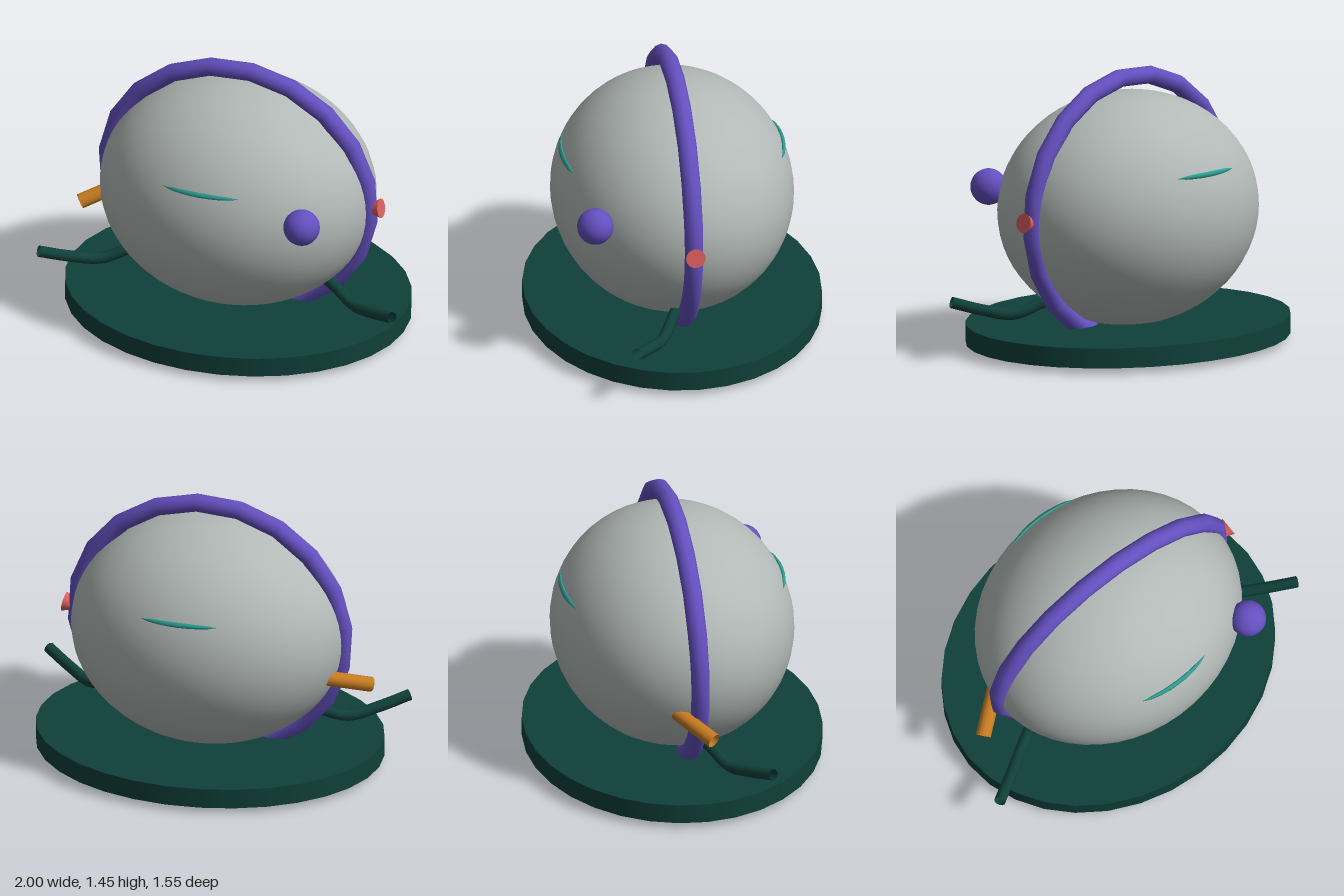
import * as THREE from 'three';

const mat = (name, color, side = THREE.FrontSide) => {
  const m = new THREE.MeshStandardMaterial({ color, side });
  m.name = name;
  return m;
};
const V = (x, y, z) => new THREE.Vector3(x, y, z);

// Cylinder running from a to b
function rod(a, b, ra, rb, sides, open, material) {
  const dir = b.clone().sub(a);
  const geo = new THREE.CylinderGeometry(rb, ra, dir.length(), sides, 1, open);
  const mesh = new THREE.Mesh(geo, material);
  mesh.position.copy(a).add(b).multiplyScalar(0.5);
  mesh.quaternion.setFromUnitVectors(V(0, 1, 0), dir.normalize());
  return mesh;
}

export function createModel() {
  const group = new THREE.Group();
  const grey = mat('shell grey', 0xb2b9b7);
  const green = mat('dark green', 0x10403a, THREE.DoubleSide);
  const purple = mat('purple', 0x6450c0);
  const teal = mat('teal', 0x2a9d90);
  const orange = mat('orange', 0xc47a20, THREE.DoubleSide);
  const coral = mat('coral', 0xdd5f5f);
  const add = (name, mesh) => {
    mesh.name = name;
    group.add(mesh);
    return mesh;
  };

  // Ellipsoid body
  const [rx, ry, rz, cy] = [0.73, 0.61, 0.63, 0.72];
  const body = add('body', new THREE.Mesh(new THREE.SphereGeometry(1, 48, 32), grey));
  body.scale.set(rx, ry, rz);
  body.position.y = cy;

  // Oval base plate
  const base = add('base', new THREE.Mesh(new THREE.CylinderGeometry(1, 1, 0.105, 32), green));
  base.scale.set(0.917, 1, 0.773);
  base.position.y = 0.0875;

  // Faceted hoop around the body, leaning very slightly
  const hoopGeo = new THREE.TorusGeometry(0.725, 0.05, 10, 20);
  hoopGeo.rotateZ(THREE.MathUtils.degToRad(-5.5)).scale(1, 0.942, 1);
  const hoop = add('hoop', new THREE.Mesh(hoopGeo, purple));
  hoop.position.set(0, 0.731, 0);
  hoop.rotation.x = -0.008;

  // Ball on the front of the body
  const ball = add('ball', new THREE.Mesh(new THREE.SphereGeometry(0.095, 24, 16), purple));
  ball.position.set(0.537, 0.84, 0.487);

  // Flared knob and open spout at the sides
  add('knob', rod(V(0.72, 0.733, 0), V(0.792, 0.748, 0), 0.022, 0.051, 16, false, coral));
  add('spout', rod(V(-0.66, 0.557, -0.11), V(-0.86, 0.48, 0.045), 0.04, 0.04, 12, true, orange));

  // Bent arms
  for (const s of [1, -1]) {
    const path = new THREE.CatmullRomCurve3([
      V(s * 0.46, 0.31, 0.03), V(s * 0.56, 0.285, 0.08),
      V(s * 0.7, 0.234, 0.155), V(s * 0.84, 0.264, 0.245), V(s * 0.98, 0.312, 0.335),
    ]);
    add(s > 0 ? 'leftArm' : 'rightArm',
      new THREE.Mesh(new THREE.TubeGeometry(path, 20, 0.03, 10), green));
  }

  // Tapered slits following the body, front and back
  for (const s of [1, -1]) {
    const y = 0.97, n = 8, pts = [];
    for (let i = 0; i <= n; i++) {
      const x = -0.21 + (0.42 * i) / n;
      const z = rz * Math.sqrt(1 - (x / rx) ** 2 - ((y - cy) / ry) ** 2);
      pts.push(V(x, y, s * z));
    }
    const curve = new THREE.CatmullRomCurve3(pts);
    const geo = new THREE.TubeGeometry(curve, n, 0.015, 6);
    const p = geo.attributes.position, v = V(0, 0, 0);
    for (let i = 0; i < p.count; i++) {
      const t = Math.floor(i / 7) / n;
      const c = curve.getPointAt(t);
      v.fromBufferAttribute(p, i).sub(c).multiplyScalar(Math.sin(Math.PI * t) ** 0.5 || 0).add(c);
      p.setXYZ(i, v.x, v.y, v.z);
    }
    geo.computeVertexNormals();
    add(s > 0 ? 'frontSlit' : 'backSlit', new THREE.Mesh(geo, teal));
  }
  return group;
}
